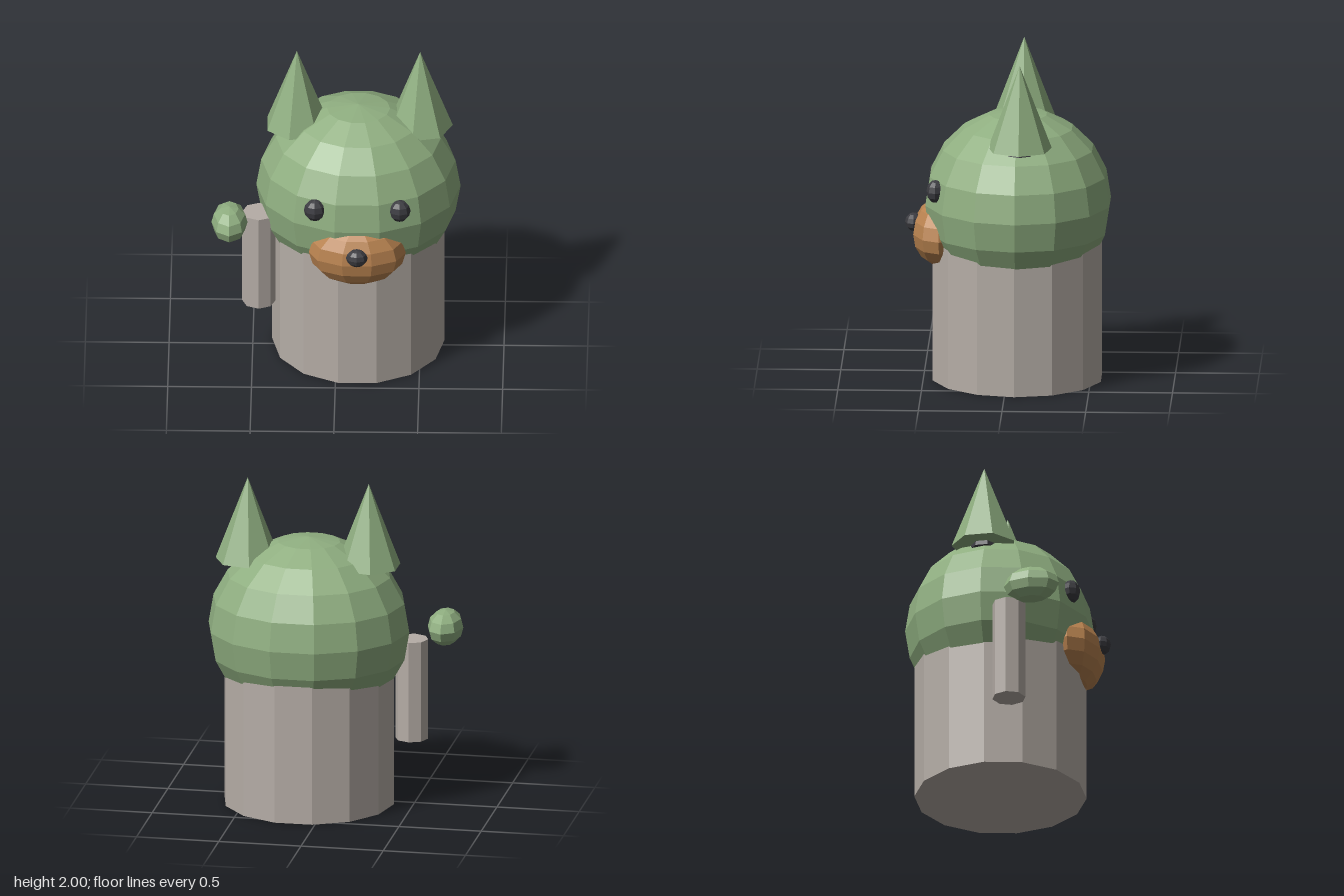
import * as THREE from 'three';

const paint = (color) => new THREE.MeshStandardMaterial({ color, flatShading: true });

export function createModel() {
  const green = paint(0x8fae80), stone = paint(0xb5ada6), brown = paint(0xb8824f), dark = paint(0x3c3c41);
  const model = new THREE.Group();
  const cx = 0.13; // the body's own centre line

  const add = (parent, name, geometry, material, x, y, z) => {
    const mesh = new THREE.Mesh(geometry, material);
    mesh.name = name;
    mesh.position.set(x, y, z);
    parent.add(mesh);
    return mesh;
  };
  // Faceted ellipsoid with radii rx, ry, rz
  const blob = (rx, ry, rz, across, down) =>
    new THREE.SphereGeometry(1, across, down).scale(rx, ry, rz);
  // Upright prism or cone with one corner on +x
  const column = (top, bottom, height, sides) =>
    new THREE.CylinderGeometry(top, bottom, height, sides).rotateY(Math.PI / 2);

  // Body and head
  add(model, 'body', column(0.515, 0.515, 1, 14), stone, cx, 0.5, -0.06);
  add(model, 'head', blob(0.61, 0.565, 0.564, 14, 10), green, cx, 1.08, -0.064);

  // Face
  add(model, 'muzzle', blob(0.29, 0.2, 0.168, 10, 8), brown, cx, 0.89, 0.4);
  add(model, 'nose', blob(0.065, 0.055, 0.052, 8, 6), dark, cx, 0.948, 0.56);

  for (const [side, s] of [['left', 1], ['right', -1]]) {
    add(model, side + 'Eye', blob(0.066, 0.07, 0.055, 8, 6), dark, cx + s * 0.253, 1.197, 0.42);

    // Ear with its dark lining just below the base
    const ear = new THREE.Group();
    ear.name = side + 'Ear';
    ear.position.set(cx + s * 0.368, 1.49, -0.087);
    add(ear, 'earCone', column(0, 0.195, 0.51, 7), green, 0, 0.255, 0);
    add(ear, 'earLining', column(0, 0.1, 0.3, 7).scale(1, 1, 0.87), dark, 0, 0.12, 0);
    model.add(ear);
  }

  // Single raised arm and its floating paw
  add(model, 'rightArm', column(0.1, 0.1, 0.62, 8), stone, -0.462, 0.68, 0.107);
  add(model, 'rightPaw', blob(0.108, 0.108, 0.168, 8, 6), green, -0.635, 1.022, 0.278);

  return model;
}
